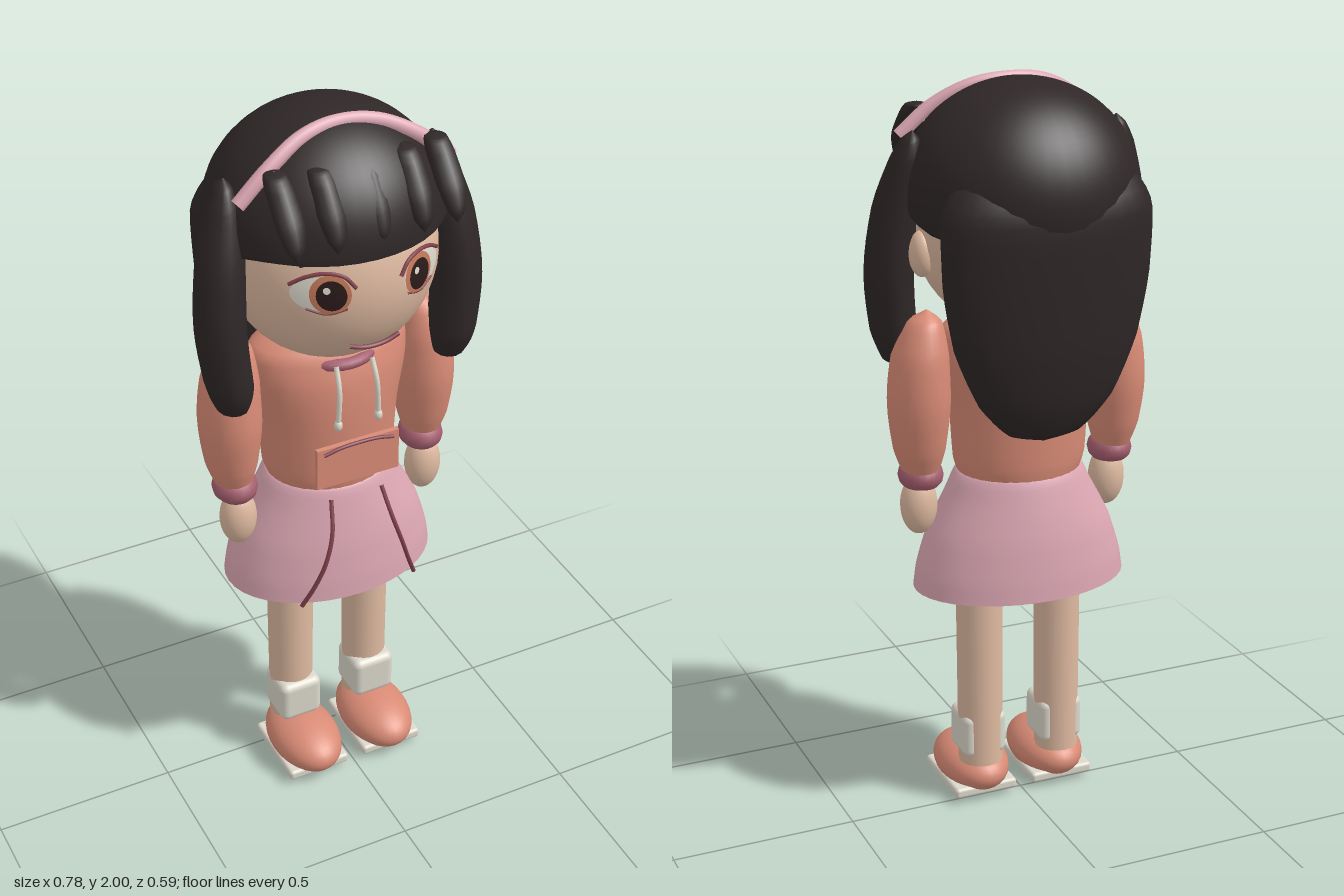
import * as THREE from 'three';
import { RoundedBoxGeometry } from 'three/addons/geometries/RoundedBoxGeometry.js';

const mat = (name, color, side = THREE.FrontSide) => {
  const m = new THREE.MeshStandardMaterial({ color, side });
  m.name = name;
  return m;
};
const V = (p) => new THREE.Vector3(...p);

// Smooth body from elliptical rings, listed upward: [y, x, z, rx, rz]
function loft(rings, seg = 32, steps = 4) {
  const a = new THREE.CatmullRomCurve3(rings.map((r) => new THREE.Vector3(r[0], r[1], r[2])));
  const b = new THREE.CatmullRomCurve3(rings.map((r) => new THREE.Vector3(r[3], r[4], 0)));
  const n = (rings.length - 1) * steps;
  const pos = [], idx = [];
  for (let i = 0; i <= n; i++) {
    const c = a.getPoint(i / n), r = b.getPoint(i / n);
    for (let j = 0; j < seg; j++) {
      const t = (j / seg) * Math.PI * 2;
      pos.push(c.y + Math.cos(t) * r.x, c.x, c.z + Math.sin(t) * r.y);
      if (i < n) {
        const k = i * seg + j, l = i * seg + ((j + 1) % seg);
        idx.push(k, k + seg, l, l, k + seg, l + seg);
      }
    }
  }
  const g = new THREE.BufferGeometry();
  g.setAttribute('position', new THREE.Float32BufferAttribute(pos, 3));
  g.setIndex(idx);
  g.computeVertexNormals();
  return g;
}

const ball = (rx, ry, rz) => new THREE.SphereGeometry(1, 32, 22).scale(rx, ry, rz);
const tube = (pts, r, seg = 24) =>
  new THREE.TubeGeometry(new THREE.CatmullRomCurve3(pts.map(V)), seg, r, 8);

// Head ellipsoid, also used to lay the face details on its surface
const HEAD = { y: 1.625, z: 0.02, rx: 0.275, ry: 0.285, rz: 0.272 };
const faceZ = (x, y, off = 0) =>
  HEAD.z + off + HEAD.rz * Math.sqrt(Math.max(0, 1 - (x / HEAD.rx) ** 2 - ((y - HEAD.y) / HEAD.ry) ** 2));
function facePatch(cx, cy, rx, ry, off) {
  const g = new THREE.RingGeometry(0.001, 1, 28, 5).scale(rx, ry, 1).translate(cx, cy, 0);
  const p = g.attributes.position;
  for (let i = 0; i < p.count; i++) p.setZ(i, faceZ(p.getX(i), p.getY(i), off));
  g.computeVertexNormals();
  return g;
}
const faceLine = (pts, r, off) => tube(pts.map(([x, y]) => [x, y, faceZ(x, y, off)]), r);

export function createModel() {
  const root = new THREE.Group();
  const skin = mat('skin', 0xdfbaa1);
  const hair = mat('dark hair', 0x2f2727);
  const coral = mat('coral cloth', 0xd98b76);
  const pink = mat('pink cloth', 0xdca7b3);
  const rose = mat('rose trim', 0xa65f70);
  const white = mat('off white', 0xdcd8cc);
  const iris = mat('iris', 0xc4795a);
  const dark = mat('pupil', 0x2a1b1a);
  const line = mat('dark rose line', 0x82424c);

  const add = (name, geo, m, p = [0, 0, 0], parent = root) => {
    const o = new THREE.Mesh(geo, m);
    o.name = name;
    o.position.set(...p);
    parent.add(o);
    return o;
  };

  // Head
  add('head', ball(HEAD.rx, HEAD.ry, HEAD.rz), skin, [0, HEAD.y, HEAD.z]);
  add('neck', new THREE.CylinderGeometry(0.08, 0.09, 0.2, 24), skin, [0, 1.37, 0.01]);
  add('mouth', faceLine([[-0.068, 1.487], [-0.035, 1.475], [0, 1.471], [0.035, 1.475], [0.068, 1.487]], 0.006, 0.022), line);

  // Hair cap: rounded dome whose lower rim drops toward the back
  const cap = new THREE.SphereGeometry(1, 40, 28, 0, Math.PI * 2, 0, Math.PI * 0.62).scale(0.308, 0.28, 0.29);
  const cp = cap.attributes.position;
  for (let i = 0; i < cp.count; i++) {
    const rim = -0.1 * THREE.MathUtils.smoothstep(0.22 - cp.getZ(i), 0, 0.42);
    cp.setY(i, Math.max(cp.getY(i), rim));
  }
  cap.computeVertexNormals();
  add('hairCap', cap, mat('dark hair', 0x2f2727, THREE.DoubleSide), [0, 1.72, -0.005]).material = hair;
  hair.side = THREE.DoubleSide;

  // Long hair down the back
  add('backHair', loft([
    [1.083, 0, -0.15, 0.002, 0.002],
    [1.11, 0, -0.155, 0.1, 0.045],
    [1.2, 0, -0.163, 0.185, 0.078],
    [1.35, 0, -0.165, 0.25, 0.105],
    [1.52, 0, -0.17, 0.28, 0.113],
    [1.68, 0, -0.17, 0.285, 0.118],
    [1.78, 0, -0.15, 0.24, 0.1],
    [1.84, 0, -0.13, 0.002, 0.002],
  ]), hair);

  // Fringe of tapering locks
  [-0.2, -0.095, 0.022, 0.135, 0.228].forEach((x, i) => {
    const back = x * x * 0.45;
    add('fringeLock' + (i + 1), loft([
      [1.755, x - 0.004, 0.274 - back * 0.3, 0.002, 0.002],
      [1.785, x - 0.002, 0.262 - back * 0.4, 0.024, 0.02],
      [1.84, x, 0.228 - back * 0.6, 0.037, 0.032],
      [1.9, x, 0.182 - back, 0.035, 0.036],
      [1.925, x, 0.16 - back, 0.028, 0.028],
      [1.932, x, 0.155 - back, 0.002, 0.002],
    ], 12), hair);
  });

  // Headband
  const half = [[0.285, 1.85, 0.115], [0.2, 1.922, 0.106], [0.1, 1.972, 0.082]];
  add('headband', tube([
    ...half.map(([x, y, z]) => [-x, y, z]), [0, 1.985, 0.07], ...half.slice().reverse(),
  ], 0.019, 40), pink);

  // Torso, collar and skirt
  add('torso', loft([
    [0.94, 0, 0.012, 0.16, 0.14],
    [1.0, 0, 0.012, 0.18, 0.15],
    [1.15, 0, 0.012, 0.19, 0.155],
    [1.28, 0, 0.01, 0.215, 0.15],
    [1.36, 0, 0.01, 0.215, 0.125],
    [1.41, 0, 0.01, 0.13, 0.08],
    [1.42, 0, 0.01, 0.002, 0.002],
  ]), coral);
  add('collar', new THREE.TorusGeometry(0.1, 0.016, 10, 32).rotateX(Math.PI / 2), rose, [0, 1.343, 0.045]);
  add('skirt', loft([
    [0.645, 0, 0.013, 0.296, 0.204],
    [0.7, 0, 0.013, 0.288, 0.2],
    [0.8, 0, 0.013, 0.257, 0.187],
    [0.9, 0, 0.013, 0.205, 0.165],
    [0.97, 0, 0.013, 0.165, 0.142],
    [0.972, 0, 0.013, 0.1, 0.1],
  ], 40), pink);
  add('skirtUnderside', new THREE.CircleGeometry(1, 40).scale(0.296, 0.204, 1).rotateX(Math.PI / 2), pink, [0, 0.645, 0.013]);

  // Front pocket
  add('pocket', new THREE.BoxGeometry(0.234, 0.12, 0.014), coral, [0, 1.075, 0.188]);
  add('pocketSeam', tube([[-0.1, 1.118, 0.196], [-0.05, 1.13, 0.198], [0, 1.132, 0.198], [0.05, 1.13, 0.198], [0.1, 1.118, 0.196]], 0.005), line);

  // Mirrored parts
  for (const s of [1, -1]) {
    const side = s > 0 ? 'left' : 'right';
    const put = (name, geo, m, p) => add(side + name, geo, m, p);

    // Eyes
    put('EyeWhite', facePatch(s * 0.135, 1.643, 0.064, 0.046, 0.004), white);
    put('Iris', facePatch(s * 0.118, 1.645, 0.046, 0.052, 0.008), iris);
    put('Pupil', facePatch(s * 0.118, 1.645, 0.034, 0.04, 0.012), dark);
    put('EyeGlint', facePatch(s * 0.118 - 0.012, 1.661, 0.008, 0.009, 0.015), white);
    put('UpperLash', faceLine([[s * 0.06, 1.66], [s * 0.085, 1.69], [s * 0.125, 1.7], [s * 0.165, 1.69], [s * 0.2, 1.665]], 0.005, 0.006), line);
    put('LowerLash', faceLine([[s * 0.08, 1.605], [s * 0.125, 1.592], [s * 0.17, 1.605]], 0.003, 0.006), line);
    put('Brow', faceLine([[s * 0.055, 1.733], [s * 0.11, 1.738], [s * 0.175, 1.715]], 0.007, 0.006), hair);
    put('Ear', ball(0.032, 0.06, 0.04), skin, [s * 0.27, 1.57, 0.005]);

    // Side tail of hair
    put('HairTail', loft([
      [1.25, s * 0.305, 0.1, 0.002, 0.002],
      [1.275, s * 0.306, 0.1, 0.04, 0.045],
      [1.35, s * 0.315, 0.1, 0.06, 0.075],
      [1.5, s * 0.328, 0.09, 0.063, 0.078],
      [1.68, s * 0.314, 0.068, 0.06, 0.068],
      [1.81, s * 0.292, 0.04, 0.042, 0.05],
      [1.86, s * 0.285, 0.03, 0.022, 0.03],
      [1.88, s * 0.282, 0.025, 0.002, 0.002],
    ], 12), hair);

    // Arm
    put('Sleeve', loft([
      [0.975, s * 0.277, 0.02, 0.045, 0.05],
      [1.05, s * 0.28, 0.018, 0.068, 0.078],
      [1.18, s * 0.28, 0.016, 0.081, 0.097],
      [1.3, s * 0.275, 0.014, 0.074, 0.086],
      [1.39, s * 0.262, 0.014, 0.045, 0.05],
      [1.42, s * 0.255, 0.014, 0.002, 0.002],
    ], 24), coral);
    put('Cuff', new THREE.TorusGeometry(0.034, 0.029, 12, 24).rotateX(Math.PI / 2).scale(0.95, 1.15, 1.05), rose, [s * 0.275, 0.972, 0.025]);
    put('Hand', ball(0.05, 0.083, 0.046), skin, [s * 0.275, 0.882, 0.042]);

    // Hoodie string with a bead
    put('String', tube([[s * 0.05, 1.36, 0.165], [s * 0.053, 1.3, 0.19], [s * 0.057, 1.2, 0.192]], 0.007), white);
    put('StringBead', ball(0.011, 0.016, 0.011), white, [s * 0.057, 1.198, 0.192]);

    // Skirt pleat
    put('Pleat', tube([[s * 0.073, 0.963, 0.185], [s * 0.088, 0.88, 0.222], [s * 0.112, 0.8, 0.234], [s * 0.14, 0.72, 0.222], [s * 0.168, 0.652, 0.203]], 0.006), line);

    // Leg, sock and shoe
    put('Leg', new THREE.CylinderGeometry(0.064, 0.061, 0.56, 28), skin, [s * 0.115, 0.39, 0.015]);
    put('Sock', new RoundedBoxGeometry(0.124, 0.128, 0.125, 4, 0.022), white, [s * 0.115, 0.196, 0.03]);
    put('Shoe', ball(0.097, 0.07, 0.15), coral, [s * 0.113, 0.07, 0.09]);
    put('Sole', new RoundedBoxGeometry(0.182, 0.03, 0.235, 3, 0.01), white, [s * 0.115, 0.03, 0.085]);
  }
  return root;
}
